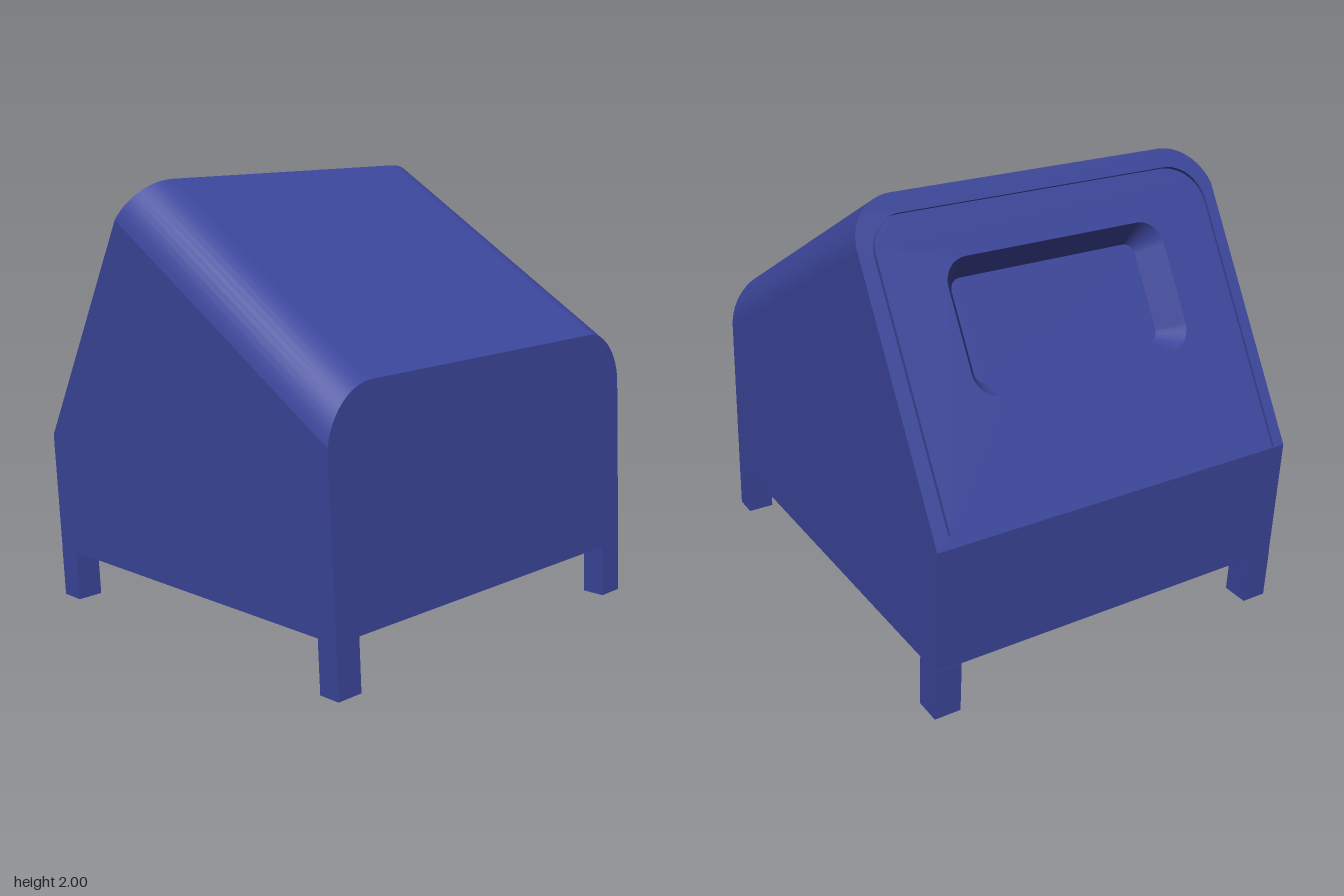
import * as THREE from 'three';

const V2 = (x, y) => new THREE.Vector2(x, y);
const HALF = 0.88, TILT = -0.059, PLATE = 0.02;

// side profile corners, as (z, y)
const frontLow = V2(0.977, 0.347), frontTop = V2(0.915, 1.325), ridge = V2(-0.317, 2);
const backKnee = V2(-0.985, 0.785), backLow = V2(-0.953, 0.233);

const arc = (cx, cy, r, a0, a1, n = 12) => Array.from({ length: n + 1 }, (_, i) => {
  const a = a0 + (a1 - a0) * i / n;
  return V2(cx + r * Math.cos(a), cy + r * Math.sin(a));
});

// strip of faces between a lower and an upper row of points
function strip(low, high) {
  const pos = [], idx = [], n = low.length;
  for (const p of [...low, ...high]) pos.push(p.x, p.y, p.z);
  for (let i = 0; i < n - 1; i++) idx.push(i, i + 1, n + i + 1, i, n + i + 1, n + i);
  const g = new THREE.BufferGeometry();
  g.setAttribute('position', new THREE.Float32BufferAttribute(pos, 3));
  g.setIndex(idx);
  g.computeVertexNormals();
  return g;
}

// flat convex polygon
function fan(points) {
  const pos = [];
  for (let i = 1; i < points.length - 1; i++)
    for (const p of [points[0], points[i], points[i + 1]]) pos.push(p.x, p.y, p.z);
  const g = new THREE.BufferGeometry();
  g.setAttribute('position', new THREE.Float32BufferAttribute(pos, 3));
  g.computeVertexNormals();
  return g;
}

function roundedRect(cx, cy, w, h, r) {
  const out = [], q = Math.PI / 2;
  [[-1, -1, 2], [1, -1, 3], [1, 1, 0], [-1, 1, 1]].forEach(([sx, sy, k]) =>
    out.push(...arc(cx + sx * (w - r), cy + sy * (h - r), r, k * q, (k + 1) * q, 8)));
  return out;
}

// outline of the seam: an upside-down U, inset by g
function seamLine(g) {
  const l = -0.817 + g, r = 0.825 - g, top = -0.085 - g, rl = 0.15 - g, rr = 0.18 - g;
  return [V2(l, -1.335), ...arc(l + rl, top - rl, rl, Math.PI, Math.PI / 2),
    ...arc(r - rr, top - rr, rr, Math.PI / 2, 0), V2(r, -1.382)];
}

export function createModel() {
  const model = new THREE.Group();
  const mat = new THREE.MeshStandardMaterial({ color: 0x3c469b });
  const add = (name, geo, parent = model) => {
    const m = new THREE.Mesh(geo, mat);
    m.name = name;
    parent.add(m);
    return m;
  };

  // section across the roof: x and drop below the roof plane
  const section = [
    ...arc(-0.64, -0.247, 0.247, Math.PI - Math.acos(0.24 / 0.247), Math.PI / 2),
    ...arc(0.68, -0.2, 0.2, Math.PI / 2, 0)];
  const slope = backKnee.clone().sub(ridge).normalize();
  const frontDir = frontLow.clone().sub(frontTop).normalize();
  const frontScale = 1 / frontDir.dot(slope);
  const row = f => section.map(s => {
    const p = f(-s.y);
    return new THREE.Vector3(s.x, p.y, p.x);
  });
  const rowFrontLow = row(() => frontLow), rowBackLow = row(() => backLow);
  const rowKnee = row(() => backKnee);
  const rowFrontTop = row(d => frontTop.clone().addScaledVector(frontDir, d * frontScale));
  const rowRidge = row(d => ridge.clone().addScaledVector(slope, d));

  // body shell
  const body = new THREE.Group();
  body.name = 'body';
  model.add(body);
  add('frontPanel', strip(rowFrontLow, rowFrontTop), body);
  add('roof', strip(rowFrontTop, rowRidge), body);
  add('underside', strip(rowBackLow, rowFrontLow), body);
  const side = i => [rowFrontLow, rowBackLow, rowKnee, rowRidge, rowFrontTop].map(r => r[i]);
  add('leftSide', fan(side(section.length - 1)), body);
  add('rightSide', fan(side(0).reverse()), body);

  // back panels lie in frames hung from their top edge; local x runs to -x
  const frame = (name, top, low) => {
    const g = new THREE.Group(), d = top.clone().sub(low).normalize();
    const X = new THREE.Vector3(-1, 0, 0), Y = new THREE.Vector3(0, d.y, d.x);
    g.applyMatrix4(new THREE.Matrix4().makeBasis(X, Y, X.clone().cross(Y)));
    g.position.set(0, top.y, top.x);
    g.name = name;
    model.add(g);
    return g;
  };
  const plate = (name, outline, holes, parent) => {
    const shape = new THREE.Shape(outline);
    shape.holes = holes.map(h => new THREE.Path(h));
    const geo = new THREE.ExtrudeGeometry(shape, { depth: PLATE, bevelEnabled: false });
    add(name, geo.translate(0, 0, -PLATE), parent);
  };
  const floor = (name, outline, depth, parent) =>
    add(name, new THREE.ShapeGeometry(new THREE.Shape(outline)).translate(0, 0, -depth), parent);

  // sloping back with seam and handle recess
  const back = frame('slopingBack', ridge, backKnee);
  const len = ridge.distanceTo(backKnee);
  const seam = [...seamLine(0), ...seamLine(0.01).reverse()];
  const rim = roundedRect(0, -0.585, 0.538, 0.285, 0.11);
  const base = roundedRect(0, -0.585, 0.463, 0.22, 0.05);
  const outline = [V2(HALF, -len), ...section.map(s => V2(-s.x, s.y)), V2(-HALF, -len)];
  plate('backPanel', outline, [seam, rim], back);
  floor('seamFloor', seam, PLATE, back);
  const ring = (pts, z) => [...pts, pts[0]].map(p => new THREE.Vector3(p.x, p.y, z));
  add('handleRecessWall', strip(ring(rim, 0), ring(base, -0.12)), back);
  floor('handleRecessFloor', base, 0.12, back);

  // lower back with the end of the seam
  const lower = frame('lowerBack', backKnee, backLow);
  const h = backKnee.distanceTo(backLow);
  const slit = [V2(0.815, -0.34), V2(0.825, -0.34), V2(0.825, -0.004), V2(0.815, -0.004)];
  plate('lowerBackPanel', [V2(-HALF, -h), V2(HALF, -h), V2(HALF, 0), V2(-HALF, 0)], [slit], lower);
  floor('lowerSeamFloor', slit, PLATE, lower);

  // legs, square to the tilted underside
  for (const sx of [-1, 1]) {
    for (const [name, z, y, depth] of [['frontLeg', 0.932, 0.23, 0.104], ['backLeg', -0.887, 0.121, 0.122]]) {
      const leg = add(name, new THREE.BoxGeometry(0.12, 0.232, depth));
      leg.position.set(sx * (HALF - 0.06), y, z);
      leg.rotation.x = TILT;
    }
  }
  return model;
}
